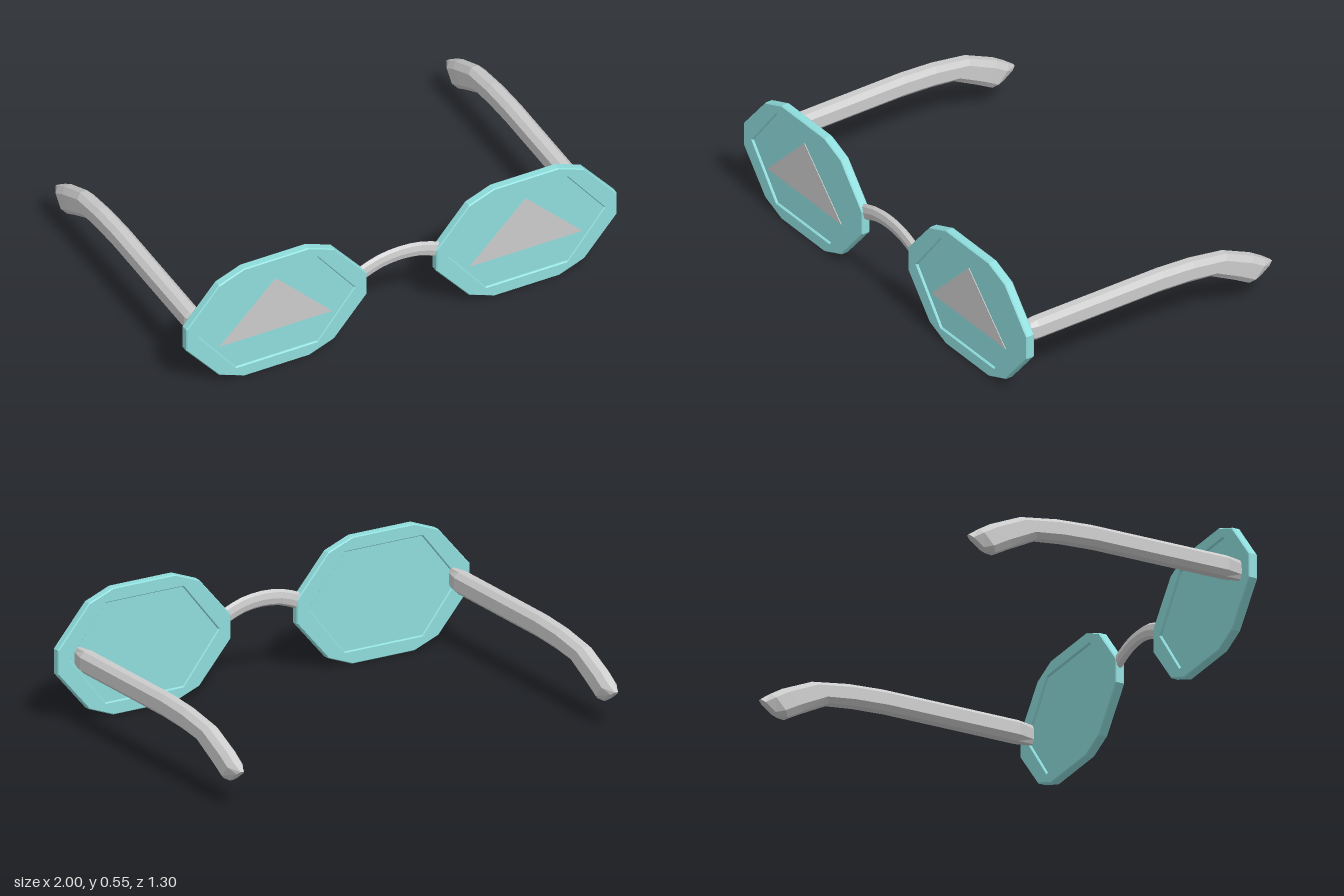
import * as THREE from 'three';

const grey = new THREE.MeshStandardMaterial({ color: 0xcccccc, flatShading: true, side: THREE.DoubleSide });
const teal = new THREE.MeshStandardMaterial({ color: 0x8fdcdc, flatShading: true });

// Lens centre and outlines, as first-quadrant points mirrored into four
const CX = 0.58, CY = 0.28;
const outline = (quarter) => {
  const back = quarter.filter(([x, y]) => x && y).reverse();
  const half = [...quarter, ...back.map(([x, y]) => [-x, y])];
  const rest = quarter.filter(([, y]) => y);
  const pts = [...half];
  if (quarter[0][1] === 0) pts.push([-quarter[0][0], 0]);
  pts.push(...rest.map(([x, y]) => [-x, -y]), ...back.map(([x, y]) => [x, -y]));
  return pts.map(([x, y]) => new THREE.Vector2(x, y));
};
const RIM = outline([[0.415, 0.052], [0.265, 0.228], [0.15, 0.273]]);
const PANE = outline([[0.365, 0], [0.19, 0.222]]);

function add(parent, name, geometry, material) {
  const mesh = new THREE.Mesh(geometry, material);
  mesh.name = name;
  parent.add(mesh);
  return mesh;
}

function createLens() {
  const g = new THREE.Group();
  // Rim with a small bevel around the edge
  const rim = new THREE.Shape(RIM);
  rim.holes.push(new THREE.Path(PANE));
  const rimGeo = new THREE.ExtrudeGeometry(rim, {
    depth: 0.03, bevelEnabled: true, bevelSize: 0.004, bevelThickness: 0.005, bevelSegments: 1,
  });
  add(g, 'rim', rimGeo, teal).position.z = 0.615;
  // Recessed pane
  const paneGeo = new THREE.ExtrudeGeometry(new THREE.Shape(PANE), { depth: 0.02, bevelEnabled: false });
  add(g, 'pane', paneGeo, teal).position.z = 0.62;
  // Triangular inlay on the front of the pane
  const tri = new THREE.Shape([[-0.26, -0.09], [0.26, -0.09], [0, 0.17]].map((p) => new THREE.Vector2(...p)));
  const triGeo = new THREE.ExtrudeGeometry(tri, { depth: 0.003, bevelEnabled: false });
  add(g, 'triangleInlay', triGeo, grey).position.z = 0.64;
  return g;
}

// Temple cross-sections: top z, top y, bottom z, bottom y, half width
const TEMPLE = [
  [0.612, 0.33, 0.612, 0.245, 0.018],
  [0.54, 0.335, 0.54, 0.24, 0.038],
  [-0.09, 0.335, -0.07, 0.24, 0.038],
  [-0.25, 0.325, -0.22, 0.232, 0.038],
  [-0.42, 0.298, -0.34, 0.218, 0.038],
  [-0.56, 0.235, -0.46, 0.155, 0.038],
  [-0.615, 0.2, -0.535, 0.112, 0.037],
  [-0.655, 0.172, -0.57, 0.11, 0.017],
];
// Octagonal section: across, and height from bottom to top
const SECTION = [[0.45, 1], [1, 0.78], [1, 0.22], [0.45, 0], [-0.45, 0], [-1, 0.22], [-1, 0.78], [-0.45, 1]];

function templeGeometry() {
  const pos = [], index = [], n = SECTION.length, last = (TEMPLE.length - 1) * n;
  for (const [tz, ty, bz, by, w] of TEMPLE) {
    for (const [s, t] of SECTION) pos.push(s * w, by + (ty - by) * t, bz + (tz - bz) * t);
  }
  for (let r = 0; r < last; r += n) {
    for (let i = 0; i < n; i++) {
      const a = r + i, b = r + (i + 1) % n;
      index.push(a, b, a + n, b, b + n, a + n);
    }
  }
  for (let i = 1; i < n - 1; i++) index.push(0, i + 1, i, last, last + i, last + i + 1);
  const geo = new THREE.BufferGeometry();
  geo.setAttribute('position', new THREE.Float32BufferAttribute(pos, 3));
  geo.setIndex(index);
  const flat = geo.toNonIndexed();
  flat.computeVertexNormals();
  return flat;
}

export function createModel() {
  const model = new THREE.Group();
  model.name = 'glasses';

  for (const side of [-1, 1]) {
    const label = side > 0 ? 'left' : 'right';
    const lens = createLens();
    lens.name = label + 'Lens';
    lens.position.set(side * CX, CY, 0);
    model.add(lens);
    add(model, label + 'Temple', templeGeometry(), grey).position.x = side > 0 ? 0.9 : -0.915;
  }

  // Arched bridge, flattened front to back
  const arch = new THREE.CatmullRomCurve3(
    [[-0.18, 0.322], [-0.1, 0.353], [0, 0.365], [0.1, 0.353], [0.18, 0.322]]
      .map(([x, y]) => new THREE.Vector3(x, y, 0)));
  const bridge = add(model, 'bridge', new THREE.TubeGeometry(arch, 8, 0.035, 8), grey);
  bridge.scale.z = 0.5;
  bridge.position.z = 0.628;

  return model;
}
